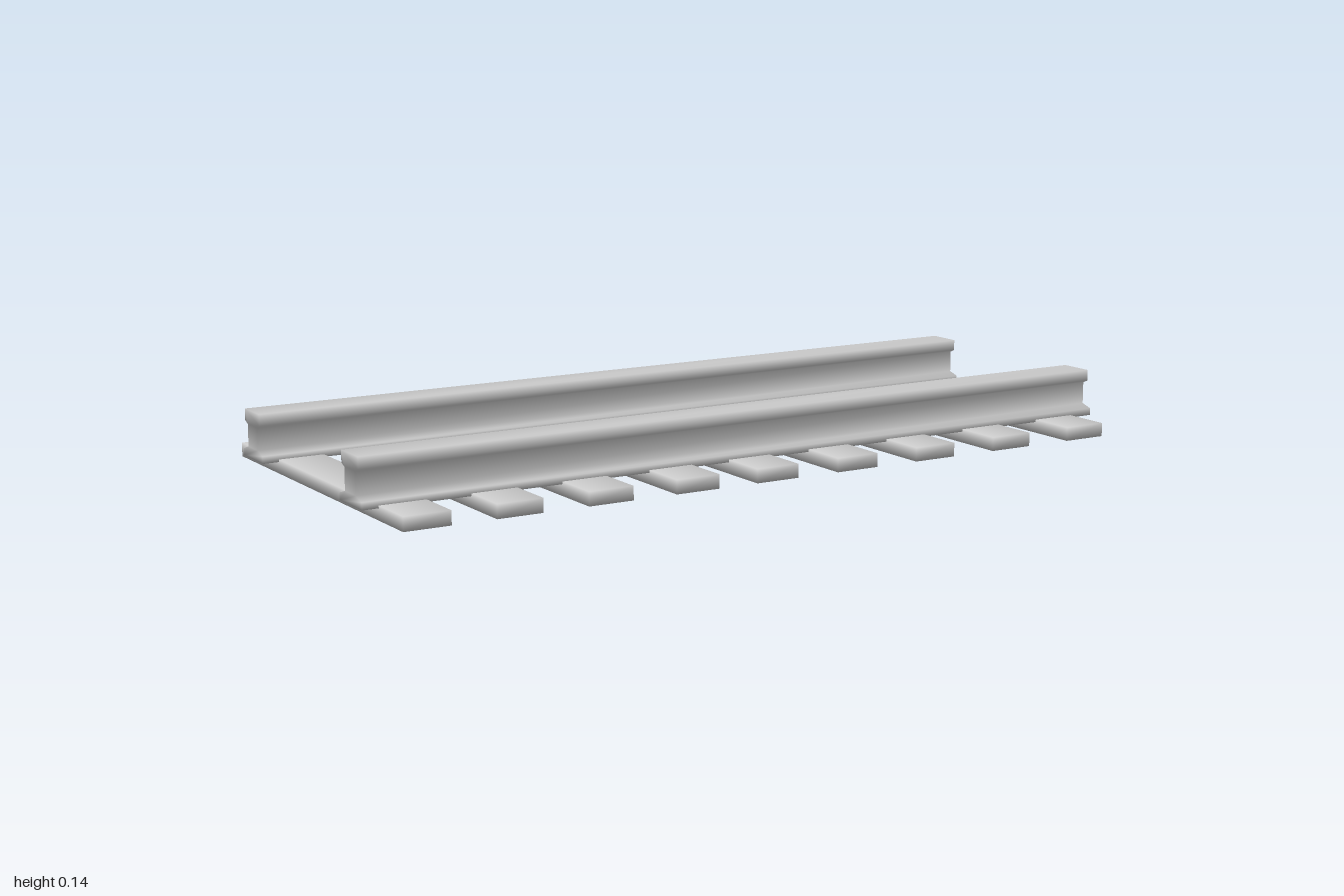
import * as THREE from 'three';
import { mergeVertices } from 'three/addons/utils/BufferGeometryUtils.js';

// Weld the corners so the shading runs smoothly over the edges
function smooth(geometry) {
  geometry.deleteAttribute('uv');
  geometry.deleteAttribute('normal');
  const welded = mergeVertices(geometry, 1e-4);
  welded.computeVertexNormals();
  return welded;
}

export function createModel() {
  const model = new THREE.Group();
  model.name = 'railwayTrack';
  const material = new THREE.MeshStandardMaterial({ color: 0xcccccc });

  // Rail: half profile (half width, height) from foot to head, mirrored
  const half = [
    [0.057, 0.027], [0.057, 0.044], [0.028, 0.053],
    [0.028, 0.106], [0.043, 0.113], [0.043, 0.14],
  ];
  const outline = [...half, ...half.map(([w, y]) => [-w, y]).reverse()];
  const profile = new THREE.Shape(outline.map(([w, y]) => new THREE.Vector2(w, y)));
  const railGeometry = smooth(
    new THREE.ExtrudeGeometry(profile, { depth: 2, bevelEnabled: false })
      .translate(0, 0, -1)
      .rotateY(Math.PI / 2)
  );
  for (const [name, z] of [['frontRail', 0.269], ['backRail', -0.276]]) {
    const rail = new THREE.Mesh(railGeometry, material);
    rail.name = name;
    rail.position.z = z;
    model.add(rail);
  }

  // Sleepers: flat planks at slightly uneven spacing under the rails
  const sleeperGeometry = smooth(new THREE.BoxGeometry(0.112, 0.033, 0.89));
  const sleeperX = [-0.905, -0.686, -0.462, -0.239, -0.026, 0.196, 0.421, 0.65, 0.88];
  sleeperX.forEach((x, i) => {
    const sleeper = new THREE.Mesh(sleeperGeometry, material);
    sleeper.name = `sleeper${i + 1}`;
    sleeper.position.set(x, 0.0165, 0);
    model.add(sleeper);
  });

  return model;
}
